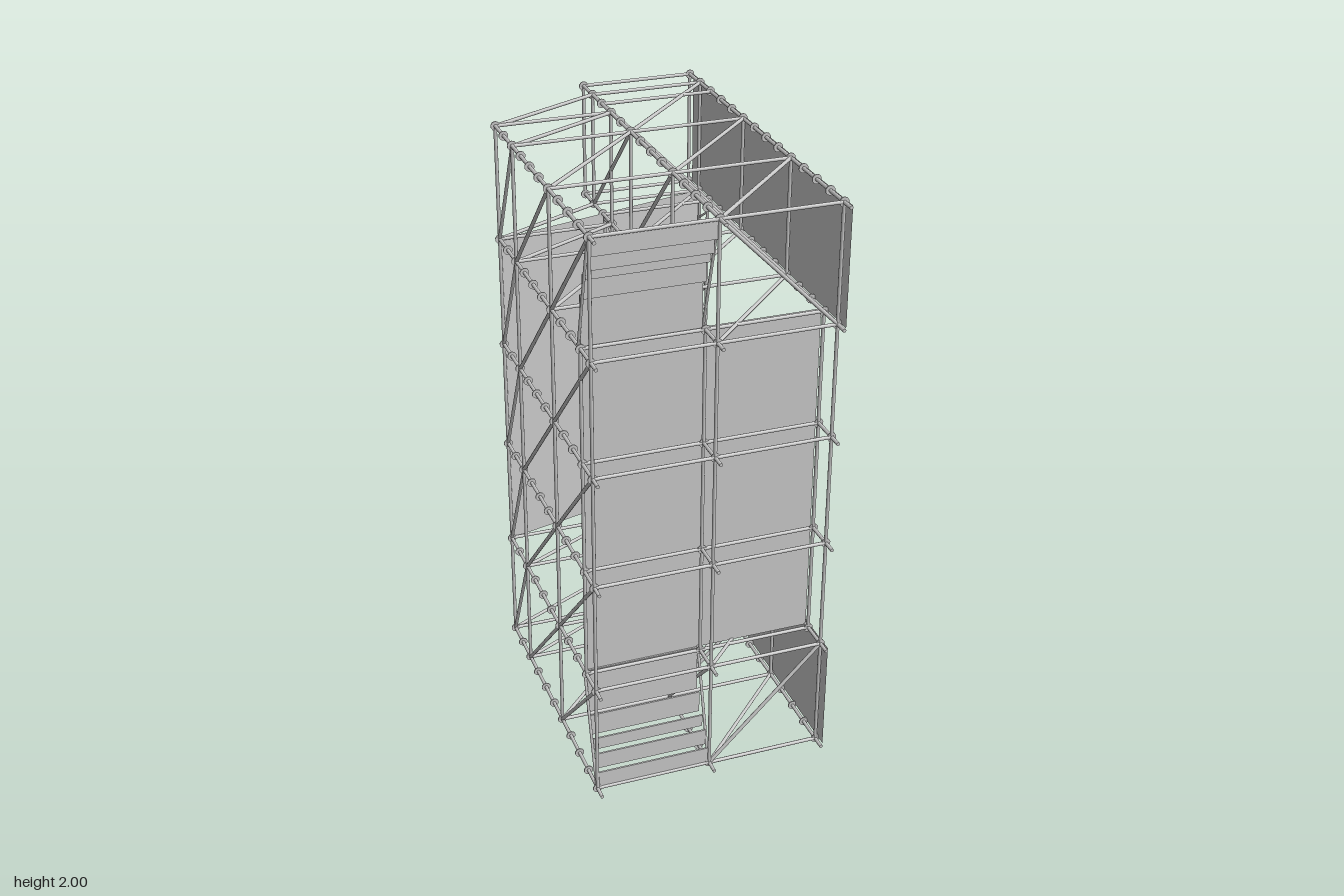
import * as THREE from 'three';

const X = [-0.395, 0, 0.39];
const Y = [0.02, 0.415, 0.81, 1.2, 1.59, 1.985];
const BLOCK = [0, 1, 4, 5]; // levels of the deep bottom and top blocks
const FRONT = 0.61, R = 0.0062, PITCH = 0.0979;

export function createModel() {
  const root = new THREE.Group();
  const mat = new THREE.MeshStandardMaterial({ color: 0xcccccc });
  const sheet = new THREE.MeshStandardMaterial({ color: 0xcccccc, side: THREE.DoubleSide });
  const up = new THREE.Vector3(0, 1, 0);

  const section = (name) => {
    const g = new THREE.Group();
    g.name = name;
    root.add(g);
    return g;
  };
  const tube = (g, a, b, name, r = R) => {
    const p = new THREE.Vector3(...a), q = new THREE.Vector3(...b);
    const d = q.clone().sub(p);
    const m = new THREE.Mesh(new THREE.CylinderGeometry(r, r, d.length(), 8), mat);
    m.position.copy(p).add(q).multiplyScalar(0.5);
    m.quaternion.setFromUnitVectors(up, d.normalize());
    m.name = name;
    g.add(m);
  };
  // flat sheet standing between two plan points
  const panel = (g, x0, z0, x1, z1, y0, y1, name) => {
    const m = new THREE.Mesh(new THREE.PlaneGeometry(Math.hypot(x1 - x0, z1 - z0), y1 - y0), sheet);
    m.position.set((x0 + x1) / 2, (y0 + y1) / 2, (z0 + z1) / 2);
    m.rotation.y = -Math.atan2(z1 - z0, x1 - x0);
    m.name = name;
    g.add(m);
  };

  // standards running front to back, with evenly spaced rosettes
  const standards = section('standards');
  const rosette = new THREE.CylinderGeometry(0.016, 0.016, 0.004, 10).rotateX(Math.PI / 2);
  X.forEach((x, i) => Y.forEach((y, j) => {
    const block = BLOCK.includes(j);
    const back = i === 0 ? -0.375 : block ? -0.668 : 0.505;
    tube(standards, [x, y, 0.66], [x, y, back], 'standard');
    for (let z = FRONT; z > back - 0.005; z -= PITCH) {
      const m = new THREE.Mesh(rosette, mat);
      m.position.set(x, y, z);
      m.name = 'rosette';
      standards.add(m);
    }
  }));

  // crosswise ledgers
  const ledgers = section('ledgers');
  Y.forEach((y, j) => {
    tube(ledgers, [X[0], y, FRONT], [X[2], y, FRONT], 'frontLedger');
    if (j > 0 && j < 5) tube(ledgers, [X[0], y, 0.51], [X[2], y, 0.51], 'panelLedger');
    if (!BLOCK.includes(j)) return;
    for (const z of [0.22, -0.17]) tube(ledgers, [X[0], y, z], [X[2], y, z], 'crossLedger');
    tube(ledgers, [X[0], y, -0.37], [0, y, -0.37], 'leftBackLedger');
    for (const z of [-0.46, -0.565, -0.665]) tube(ledgers, [0, y, z], [X[2], y, z], 'backLedger');
    // slanted back corner
    tube(ledgers, [X[0], y, -0.37], [0, y, -0.565], 'slantedLedger');
    tube(ledgers, [X[0], y, -0.17], [0, y, -0.37], 'slantedLedger');
  });

  // uprights
  const uprights = section('uprights');
  for (const x of X) {
    tube(uprights, [x, Y[0], FRONT], [x, Y[5], FRONT], 'frontUpright');
    tube(uprights, [x, Y[1], 0.51], [x, Y[4], 0.51], 'panelUpright');
  }
  for (const z of [0.22, -0.17, -0.37]) tube(uprights, [X[0], Y[0], z], [X[0], Y[5], z], 'sideUpright');
  for (const [a, b] of [[0, 1], [4, 5]]) {
    for (const x of [X[1], X[2]]) {
      for (const z of [0.22, -0.17, -0.565, -0.665]) tube(uprights, [x, Y[a], z], [x, Y[b], z], 'blockUpright');
    }
    tube(uprights, [0, Y[a], -0.37], [0, Y[b], -0.37], 'blockUpright');
  }

  // diagonal braces
  const braces = section('braces');
  const zs = [FRONT, 0.22, -0.17, -0.37];
  for (let j = 0; j < 5; j++) {
    for (let k = 0; k < 3; k++) {
      tube(braces, [X[0], Y[j + 1], zs[k]], [X[0], Y[j], zs[k + 1]], 'sideBrace');
    }
  }
  for (const j of [0, 4]) {
    for (let k = 0; k < 2; k++) tube(braces, [0, Y[j + 1], zs[k]], [0, Y[j], zs[k + 1]], 'middleBrace');
    tube(braces, [0, Y[j + 1], -0.17], [0, Y[j], -0.565], 'middleBrace');
  }
  for (const z of [FRONT, 0.22, -0.17, -0.565]) {
    tube(braces, [0, Y[0], z], [X[2], Y[1], z], 'crossBrace');
    tube(braces, [0, Y[5], z], [X[2], Y[4], z], 'crossBrace');
  }
  for (const j of BLOCK) {
    const y = Y[j];
    tube(braces, [X[0], y, 0.22], [0, y, -0.17], 'planBrace');
    tube(braces, [0, y, -0.17], [X[2], y, -0.565], 'planBrace');
    tube(braces, [0, y, FRONT], [X[2], y, 0.22], 'planBrace');
    tube(braces, [0, y, 0.22], [X[2], y, -0.17], 'planBrace');
  }

  // large sheets
  const panels = section('panels');
  panel(panels, X[0], 0.49, X[2], 0.49, Y[1], Y[4], 'frontPanel');
  panel(panels, X[0], -0.37, X[2], -0.565, Y[1], Y[4], 'backPanel');
  panel(panels, 0.402, 0.645, 0.402, -0.66, Y[0], Y[1], 'lowerSideBand');
  panel(panels, 0.402, 0.645, 0.402, -0.66, Y[4], Y[5], 'upperSideBand');

  // stepped slats with stringers, mirrored bottom to top
  const slats = section('steppedSlats');
  const steps = [[0.02, 0.08, 0.608], [0.08, 0.135, 0.58], [0.135, 0.175, 0.55], [0.175, 0.25, 0.52], [0.25, 0.415, 0.495]];
  for (const flip of [false, true]) {
    const fy = (y) => (flip ? 2.005 - y : y);
    for (const [y0, y1, z] of steps) {
      const m = new THREE.Mesh(new THREE.BoxGeometry(0.385, y1 - y0 + 0.004, 0.006), mat);
      m.position.set(-0.197, fy((y0 + y1) / 2), z);
      m.name = 'slat';
      slats.add(m);
    }
    for (const x of [X[0], X[1]]) tube(slats, [x, fy(0.02), 0.6], [x, fy(0.415), 0.49], 'stringer', 0.005);
  }

  // lattice girders bracing the back panel
  const girders = section('latticeGirders');
  const lattice = (x, zFront, zBack) => {
    for (const z of [zFront, zBack]) tube(girders, [x, Y[1], z], [x, Y[4], z], 'chord');
    const n = 24, h = (Y[4] - Y[1]) / n;
    for (let i = 0; i < n; i++) {
      const y = Y[1] + i * h;
      const [a, b] = i % 2 ? [zFront, zBack] : [zBack, zFront];
      tube(girders, [x, y, a], [x, y + h, b], 'lacing', 0.004);
    }
    for (const y of [Y[1] + 0.01, 0.985, 1.015, Y[4] - 0.01]) tube(girders, [x, y, zFront], [x, y, zBack], 'spacer');
  };
  lattice(X[1], -0.368, -0.446);
  lattice(X[2], -0.474, -0.552);

  return root;
}
